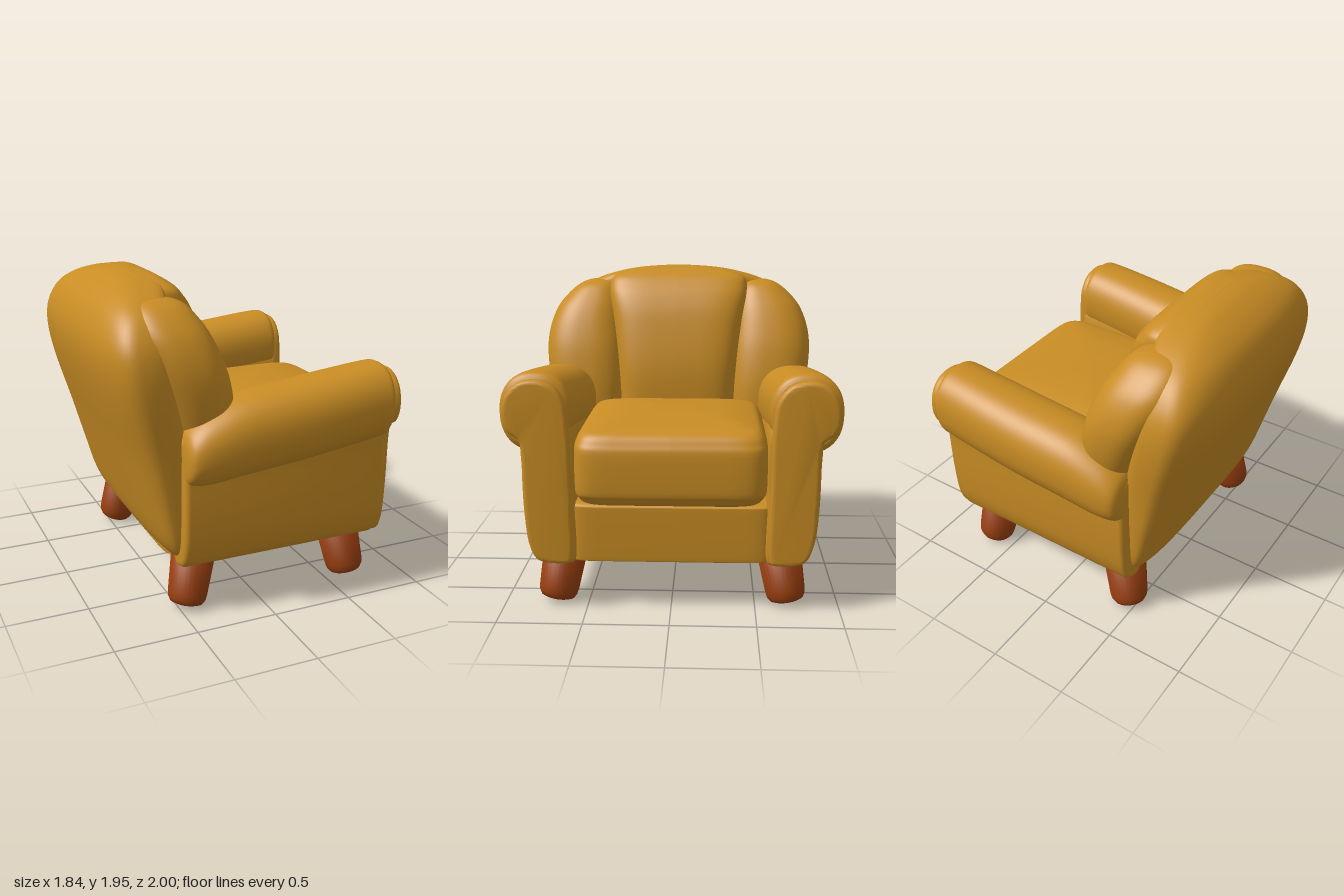
import * as THREE from 'three';
import { toCreasedNormals } from 'three/addons/utils/BufferGeometryUtils.js';

const upholstery = new THREE.MeshStandardMaterial({ color: 0xc88c24 });
upholstery.name = 'ochre upholstery';
const wood = new THREE.MeshStandardMaterial({ color: 0x983f10 });
wood.name = 'brown wood';

// Skin over superellipse rings [p, a0, a1, b0, b1] set along an axis.
// Axis y: a = x, b = z.  Axis x: a = y, b = z.
function loft(rings, axis, power, steps = 4, sides = 64) {
  const last = rings.length - 1;
  const full = [];
  const catmull = (a, b, c, d, t) =>
    b + 0.5 * t * (c - a + t * (2 * a - 5 * b + 4 * c - d + t * (3 * (b - c) + d - a)));
  for (let i = 0; i < last; i++) {
    const r = [rings[Math.max(i - 1, 0)], rings[i], rings[i + 1], rings[Math.min(i + 2, last)]];
    for (let s = 0; s < steps; s++) {
      full.push(rings[i].map((_, k) => catmull(r[0][k], r[1][k], r[2][k], r[3][k], s / steps)));
    }
  }
  full.push(rings[last]);

  const pos = [], index = [];
  const put = (p, a, b) => (axis === 'y' ? pos.push(a, p, b) : pos.push(p, a, b));
  const tri = (a, b, c) => (axis === 'y' ? index.push(a, b, c) : index.push(a, c, b));
  const curve = (v) => Math.sign(v) * Math.pow(Math.abs(v), 2 / power);
  for (const [p, a0, a1, b0, b1] of full) {
    for (let k = 0; k < sides; k++) {
      const t = (k / sides) * Math.PI * 2;
      put(p, (a0 + a1) / 2 + (a1 - a0) / 2 * curve(Math.cos(t)),
        (b0 + b1) / 2 + (b1 - b0) / 2 * curve(Math.sin(t)));
    }
  }
  for (let j = 0; j < full.length - 1; j++) {
    for (let k = 0; k < sides; k++) {
      const a = j * sides + k, b = j * sides + (k + 1) % sides;
      tri(a, a + sides, b);
      tri(b, a + sides, b + sides);
    }
  }
  // end caps
  const start = pos.length / 3, top = (full.length - 1) * sides;
  for (const [p, a0, a1, b0, b1] of [full[0], full[full.length - 1]]) put(p, (a0 + a1) / 2, (b0 + b1) / 2);
  for (let k = 0; k < sides; k++) {
    const n = (k + 1) % sides;
    tri(start, k, n);
    tri(start + 1, top + n, top + k);
  }
  const g = new THREE.BufferGeometry();
  g.setAttribute('position', new THREE.Float32BufferAttribute(pos, 3));
  g.setIndex(index);
  g.computeVertexNormals();
  return g;
}

// Bevelled slab running from x0 to x1 with a (z, y) outline; side is +1 or -1.
function slab(outline, x0, x1, bevel, side) {
  const pts = outline.map(([z, y]) => new THREE.Vector2(-side * z, y));
  const path = new THREE.CatmullRomCurve3(pts.map((p) => new THREE.Vector3(p.x, p.y, 0)), true, 'centripetal');
  const shape = new THREE.Shape(path.getPoints(80).slice(0, -1).map((p) => new THREE.Vector2(p.x, p.y)));
  const g = new THREE.ExtrudeGeometry(shape, {
    depth: x1 - x0 - 2 * bevel, bevelEnabled: true, bevelThickness: bevel,
    bevelSize: bevel, bevelOffset: -bevel, bevelSegments: 5, steps: 1,
  });
  g.rotateY(Math.PI / 2).translate(x0 + bevel, 0, 0);
  return toCreasedNormals(g, 0.7);
}

export function createModel() {
  const model = new THREE.Group();
  model.name = 'armchair';
  const add = (name, geometry, material = upholstery) => {
    const mesh = new THREE.Mesh(geometry, material);
    mesh.name = name;
    model.add(mesh);
    return mesh;
  };
  const centred = (rows) => rows.map(([y, x0, x1, h]) => [y, x0, x1, -h, h]);
  const sided = (rows, s) => rows.map(([p, a0, a1, b0, b1]) => (s > 0 ? [p, a0, a1, b0, b1] : [p, a0, a1, -b1, -b0]));

  // seat base
  add('seatBase', loft(centred([
    [0.29, -0.5, 0.75, 0.6], [0.3, -0.52, 0.775, 0.61], [0.33, -0.53, 0.785, 0.61],
    [0.6, -0.53, 0.79, 0.61], [0.635, -0.53, 0.785, 0.61], [0.65, -0.52, 0.76, 0.6],
  ]), 'y', 14));

  // seat cushion with a crowned top
  add('seatCushion', loft(centred([
    [0.655, -0.1, 0.8, 0.46], [0.67, -0.14, 0.86, 0.52], [0.71, -0.16, 0.895, 0.55],
    [0.76, -0.16, 0.915, 0.56], [0.97, -0.16, 0.915, 0.56], [1.03, -0.16, 0.895, 0.55],
    [1.075, -0.14, 0.865, 0.525], [1.1, -0.1, 0.8, 0.48], [1.13, 0.05, 0.62, 0.33], [1.145, 0.25, 0.42, 0.12],
  ]), 'y', 9));

  // back shell
  add('backShell', loft(centred([
    [0.32, -0.5, -0.4, 0.66], [0.34, -0.545, -0.38, 0.72], [0.45, -0.62, -0.38, 0.77],
    [0.7, -0.7, -0.38, 0.79], [1.0, -0.79, -0.38, 0.81], [1.3, -0.88, -0.42, 0.84],
    [1.5, -0.92, -0.45, 0.84], [1.65, -0.915, -0.47, 0.8], [1.78, -0.865, -0.45, 0.7],
    [1.86, -0.79, -0.43, 0.56], [1.91, -0.71, -0.42, 0.4], [1.935, -0.65, -0.45, 0.26], [1.948, -0.58, -0.5, 0.1],
  ]), 'y', 3.2));

  // middle panel of the backrest
  add('backPanel', loft(centred([
    [0.6, -0.6, -0.13, 0.38], [1.0, -0.7, -0.12, 0.385], [1.3, -0.78, -0.125, 0.405],
    [1.6, -0.82, -0.19, 0.44], [1.75, -0.8, -0.25, 0.465], [1.83, -0.76, -0.305, 0.465],
    [1.88, -0.7, -0.35, 0.44], [1.92, -0.64, -0.41, 0.35], [1.94, -0.6, -0.45, 0.23], [1.95, -0.57, -0.51, 0.08],
  ]), 'y', 4.5));

  // arm outlines in (z, y)
  const sideOutline = [[0.56, 0.31], [0.58, 0.285], [0.74, 0.29], [0.8, 0.325], [0.84, 0.42], [0.86, 0.6],
    [0.865, 0.85], [0.86, 1.05], [0.8, 1.12], [0.6, 1.12], [0.565, 1.05], [0.56, 0.7]];
  const frontOutline = [[0.575, 0.33], [0.59, 0.3], [0.74, 0.3], [0.79, 0.325], [0.83, 0.42], [0.85, 0.65],
    [0.86, 1.0], [0.875, 1.04], [0.93, 1.08], [0.96, 1.17], [0.94, 1.29], [0.87, 1.365], [0.78, 1.385],
    [0.68, 1.36], [0.61, 1.28], [0.585, 1.15], [0.575, 0.75]];

  for (const s of [1, -1]) {
    const label = s > 0 ? 'Left' : 'Right';

    // puffy wing beside the back panel
    add('backWing' + label, loft(sided([
      [0.85, -0.42, -0.14, 0.38, 0.72], [1.0, -0.47, -0.14, 0.37, 0.8], [1.2, -0.54, -0.145, 0.36, 0.865],
      [1.4, -0.62, -0.18, 0.36, 0.89], [1.55, -0.68, -0.23, 0.37, 0.875], [1.68, -0.725, -0.29, 0.38, 0.825],
      [1.77, -0.725, -0.35, 0.4, 0.75], [1.825, -0.69, -0.4, 0.43, 0.68], [1.85, -0.64, -0.46, 0.47, 0.62],
      [1.858, -0.57, -0.52, 0.53, 0.57],
    ], s), 'y', 2.5));

    // arm side, rolled top and front facing
    add('armSide' + label, slab(sideOutline, -0.51, 0.79, 0.03, s));
    add('armRoll' + label, loft(sided([
      [-0.51, 0.9, 1.05, 0.66, 0.86], [-0.5, 0.85, 1.12, 0.6, 0.92], [-0.46, 0.825, 1.18, 0.55, 0.955],
      [-0.35, 0.82, 1.25, 0.54, 0.975], [-0.15, 0.845, 1.32, 0.54, 0.99], [0.2, 0.885, 1.365, 0.55, 1.0],
      [0.5, 0.925, 1.4, 0.56, 0.995], [0.7, 0.95, 1.42, 0.565, 0.985], [0.76, 0.965, 1.415, 0.57, 0.98],
      [0.785, 1.0, 1.38, 0.6, 0.95],
    ], s), 'x', 2.3));
    add('armFront' + label, slab(frontOutline, 0.75, 0.83, 0.025, s));

    // splayed legs
    for (const [end, topX, footX] of [['front', 0.605, 0.66], ['back', -0.375, -0.45]]) {
      const foot = new THREE.Vector3(footX, 0.02, s * 0.695);
      const dir = new THREE.Vector3(topX, 0.34, s * 0.64).sub(foot);
      const h = dir.length();
      const profile = [[0, 0], [0.075, 0], [0.1, 0.01], [0.115, 0.035], [0.12, 0.07], [0.135, h], [0, h]]
        .map(([r, y]) => new THREE.Vector2(r, y));
      const leg = add(end + 'Leg' + label, new THREE.LatheGeometry(profile, 32), wood);
      leg.position.copy(foot);
      leg.quaternion.setFromUnitVectors(new THREE.Vector3(0, 1, 0), dir.normalize());
    }
  }
  return model;
}
